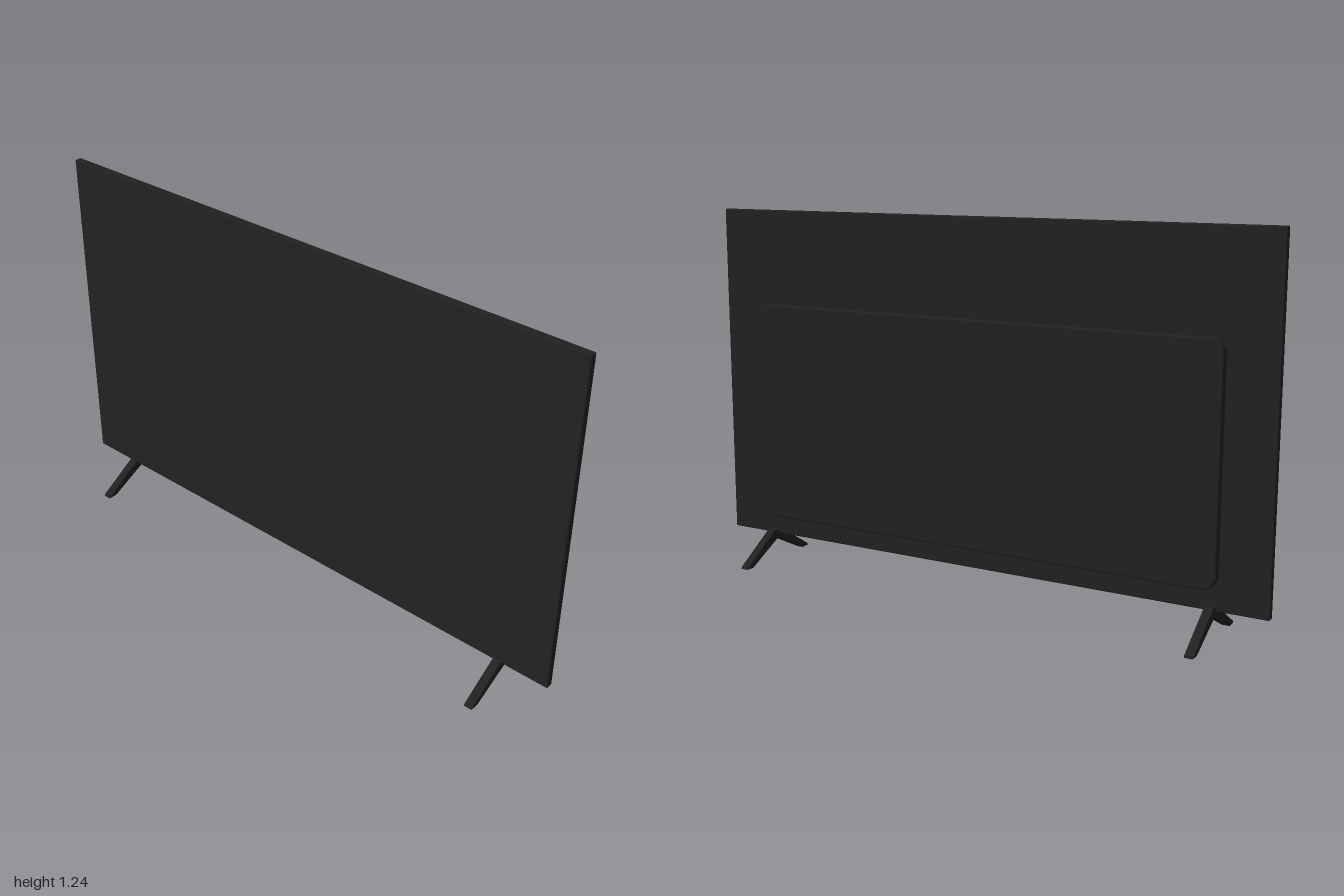
import * as THREE from 'three';
import { RoundedBoxGeometry } from 'three/addons/geometries/RoundedBoxGeometry.js';

const black = new THREE.MeshStandardMaterial({ name: 'matte black', color: 0x202020 });
const screenBlack = new THREE.MeshStandardMaterial({ name: 'screen black', color: 0x222222 });

function roundedRect(w, h, r) {
  const s = new THREE.Shape();
  const x = w / 2, y = h / 2;
  s.absarc(x - r, y - r, r, 0, Math.PI / 2);
  s.absarc(-x + r, y - r, r, Math.PI / 2, Math.PI);
  s.absarc(-x + r, -y + r, r, Math.PI, Math.PI * 1.5);
  s.absarc(x - r, -y + r, r, Math.PI * 1.5, Math.PI * 2);
  s.closePath();
  return s;
}

function addMesh(parent, name, geometry, material, x, y, z) {
  const mesh = new THREE.Mesh(geometry, material);
  mesh.name = name;
  mesh.position.set(x, y, z);
  parent.add(mesh);
  return mesh;
}

export function createModel() {
  const model = new THREE.Group();
  model.name = 'television';

  // Slim panel and its display face
  addMesh(model, 'panel', new RoundedBoxGeometry(2, 1.147, 0.025, 3, 0.004), black, 0, 0.6635, 0.0165);
  addMesh(model, 'screen', new THREE.PlaneGeometry(1.988, 1.135), screenBlack, 0, 0.6635, 0.0295);

  // Electronics housing on the back, with rounded corners and a softened rim
  const bevel = 0.006;
  const housing = new THREE.ExtrudeGeometry(roundedRect(1.68 - 2 * bevel, 0.755 - 2 * bevel, 0.036), {
    depth: 0.026, bevelSize: bevel, bevelThickness: bevel, bevelSegments: 3, curveSegments: 8,
  });
  addMesh(model, 'backHousing', housing, black, 0, 0.5375, -0.0195);

  // Splayed feet: one V-shaped profile extruded sideways
  const profile = new THREE.Shape([
    [-0.17, 0.003], [-0.143, 0.003], [0, 0.077], [0.143, 0.003], [0.17, 0.003],
    [0.168, 0.007], [0.018, 0.103], [-0.018, 0.103], [-0.168, 0.007],
  ].map(([z, y]) => new THREE.Vector2(z, y)));
  const foot = new THREE.ExtrudeGeometry(profile, {
    depth: 0.024, bevelSize: 0.003, bevelThickness: 0.003, bevelSegments: 2,
  });
  foot.translate(0, 0, -0.012).rotateY(Math.PI / 2);
  for (const side of [-1, 1]) {
    addMesh(model, side > 0 ? 'leftFoot' : 'rightFoot', foot, black, side * 0.82, 0, 0);
  }

  return model;
}
